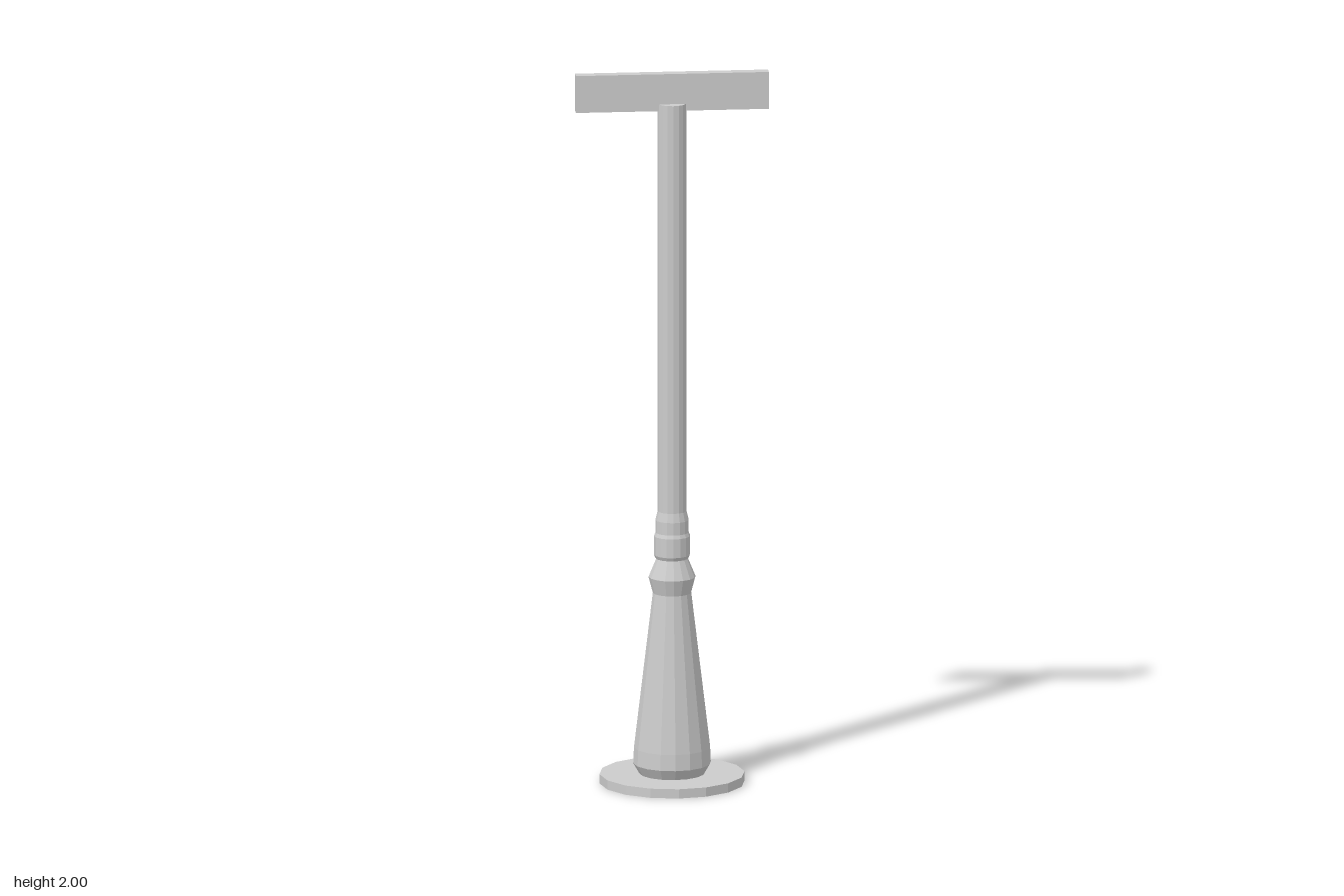
import * as THREE from 'three';

const SIDES = 16;

export function createModel() {
  const group = new THREE.Group();
  const material = new THREE.MeshStandardMaterial({ color: 0xcccccc, flatShading: true });

  const add = (name, geometry, y) => {
    const mesh = new THREE.Mesh(geometry, material);
    mesh.name = name;
    mesh.position.y = y;
    group.add(mesh);
  };
  const turned = (points) =>
    new THREE.LatheGeometry(points.map(([r, y]) => new THREE.Vector2(r, y)), SIDES);

  // Flat ground plate
  add('basePlate', new THREE.CylinderGeometry(0.2, 0.2, 0.026, SIDES), 0.013);

  // Tapered pedestal with a flared ring at its top
  add('pedestal', turned([
    [0, 0.026], [0.09, 0.026], [0.107, 0.055], [0.105, 0.1],
    [0.053, 0.535], [0.065, 0.58], [0.042, 0.635], [0, 0.635],
  ]), 0);

  // Stepped collar holding the pole
  add('collar', turned([
    [0, 0.632], [0.045, 0.632], [0.05, 0.642], [0.05, 0.695], [0.046, 0.705],
    [0.046, 0.74], [0.04, 0.765], [0, 0.765],
  ]), 0);

  // Long straight pole
  add('pole', new THREE.CylinderGeometry(0.04, 0.04, 1.285, SIDES), 1.2725);

  // Thin sign board across the pole top
  add('signBoard', new THREE.BoxGeometry(0.532, 0.104, 0.03), 1.948);

  return group;
}
